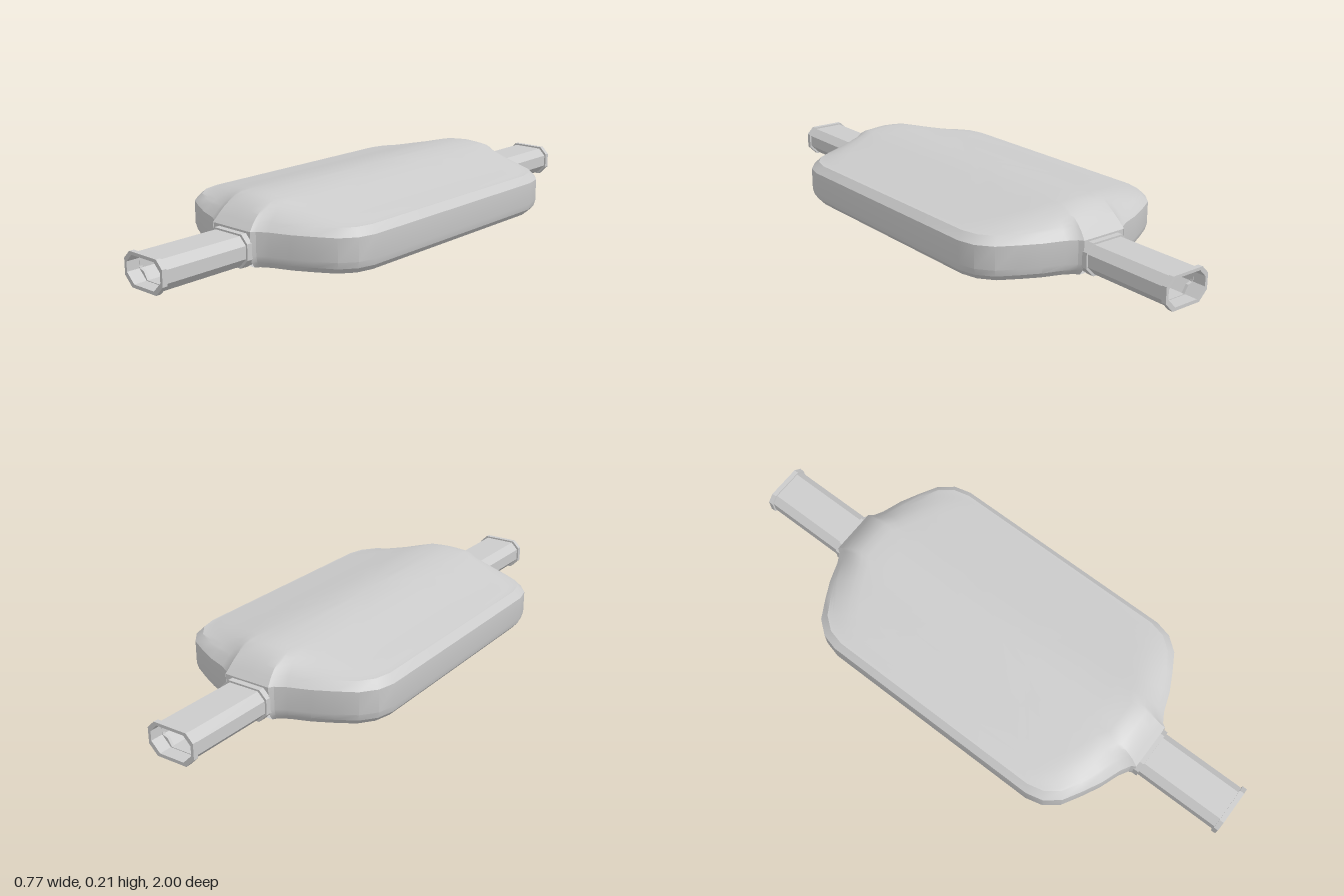
import * as THREE from 'three';
import { toCreasedNormals } from 'three/addons/utils/BufferGeometryUtils.js';

const mat = new THREE.MeshStandardMaterial({ color: 0xcccccc, side: THREE.DoubleSide });

// Front quarter of the body plan, as [x, z] from the nose to the side
const QUARTER = [[0, 0.66], [0.045, 0.66], [0.085, 0.66], [0.095, 0.645], [0.13, 0.625], [0.2, 0.6],
  [0.265, 0.567], [0.33, 0.53], [0.37, 0.48], [0.385, 0.42], [0.385, 0.2], [0.385, 0]];
// Height of the roof across x
const ROOF = [[0, 0.208], [0.05, 0.205], [0.1, 0.199], [0.18, 0.18], [0.25, 0.166], [0.36, 0.145]];
const SX = 0.94, SZ = 0.968, EDGE = 0.145, NECK = 0.086;

function lerpTable(table, x) {
  for (let i = 1; i < table.length; i++) {
    const [x0, y0] = table[i - 1], [x1, y1] = table[i];
    if (x <= x1 && x1 > x0) return y0 + (y1 - y0) * (x - x0) / (x1 - x0);
  }
  return table[table.length - 1][1];
}

function roofHeight(x, z) {
  const ax = Math.abs(x);
  const end = lerpTable(QUARTER.map(([a, b]) => [a * SX, b * SZ]), ax);
  const t = THREE.MathUtils.clamp((end - Math.abs(z)) / 0.11, 0, 1);
  return EDGE + (lerpTable(ROOF, ax) - EDGE) * (1 - (1 - t) ** 2);
}

// Closed body: stacked rings for the wall, shrinking rings for the domed roof
function bodyGeometry() {
  const n = QUARTER.length;
  const half = [...QUARTER, ...QUARTER.slice(0, n - 1).reverse().map(([x, z]) => [x, -z])];
  const loop = [...half, ...half.slice(1, -1).reverse().map(([x, z]) => [-x, z])];
  const ring = (sx, sz, y) => loop.map(([x, z]) => new THREE.Vector3(x * sx, y, z * sz));
  const rings = [ring(SX, SZ, 0), ring(0.985, 0.992, 0.02), ring(1, 1, 0.042), ring(1, 1, 0.12), ring(SX, SZ, EDGE)];
  for (const s of [0.985, 0.965, 0.94, 0.91, 0.87, 0.82, 0.7, 0.5, 0.28]) {
    const r = ring(SX * s, SZ * s, 0);
    r.forEach(p => { p.y = roofHeight(p.x, p.z); });
    rings.push(r);
  }
  const pos = [];
  const tri = (...pts) => pts.forEach(p => pos.push(p.x, p.y, p.z));
  const bottom = new THREE.Vector3(), top = new THREE.Vector3(0, roofHeight(0, 0), 0);
  loop.forEach((p, j) => {
    const k = (j + 1) % loop.length;
    const atNeck = Math.abs(p[0]) < NECK && Math.abs(loop[k][0]) < NECK;
    for (let i = 0; i < rings.length - 1; i++) {
      if (atNeck && i < 3) continue; // opening for the pipe
      const a = rings[i], b = rings[i + 1];
      tri(a[j], a[k], b[k]);
      tri(a[j], b[k], b[j]);
    }
    const last = rings[rings.length - 1];
    tri(last[j], last[k], top);
    tri(bottom, rings[0][k], rings[0][j]);
  });
  const g = new THREE.BufferGeometry();
  g.setAttribute('position', new THREE.Float32BufferAttribute(pos, 3));
  return toCreasedNormals(g, 0.45);
}

// Chamfered cross-section; ct and cb are the top and bottom chamfers
function section(w, y0, y1, ct = 0.026, cb = 0.032) {
  return [[w - cb, y0], [w, y0 + cb], [w, y1 - ct], [w - ct, y1],
    [ct - w, y1], [-w, y1 - ct], [-w, y0 + cb], [cb - w, y0]];
}

function frame(name, outer, inner, z0, z1) {
  const toPts = a => a.map(([x, y]) => new THREE.Vector2(x, y));
  const shape = new THREE.Shape(toPts(outer));
  shape.holes.push(new THREE.Path(toPts(inner)));
  const g = new THREE.ExtrudeGeometry(shape, { depth: z1 - z0, bevelEnabled: false });
  g.translate(0, 0, z0);
  const mesh = new THREE.Mesh(g, mat);
  mesh.name = name;
  return mesh;
}

function pipe(name) {
  const group = new THREE.Group();
  group.name = name;
  const tube = section(0.082, 0.005, 0.105), bore = section(0.078, 0.011, 0.101);
  const rim = section(0.088, 0, 0.111);
  // Notched opening of the inner plate
  const right = [[0.042, 0.013], [0.058, 0.038], [0.075, 0.043], [0.077, 0.05], [0.077, 0.078],
    [0.06, 0.08], [0.046, 0.088], [0.042, 0.098]];
  const notch = [...right, ...[...right].reverse().map(([x, y]) => [-x, y])];
  group.add(
    frame('pipeWall', tube, bore, 0.64, 0.99),
    frame('pipeEndRim', rim, bore, 0.983, 1),
    frame('pipeBaseCollar', rim, bore, 0.645, 0.675),
    frame('pipeSocket', section(0.088, 0.002, 0.125, 0.008), bore, 0.632, 0.655),
    frame('pipeInnerPlate', section(0.08, 0.008, 0.103), notch, 0.945, 0.955),
  );
  return group;
}

export function createModel() {
  const model = new THREE.Group();
  model.name = 'muffler';
  const body = new THREE.Mesh(bodyGeometry(), mat);
  body.name = 'body';
  const front = pipe('frontPipe'), back = pipe('backPipe');
  back.rotation.y = Math.PI;
  model.add(body, front, back);
  return model;
}
